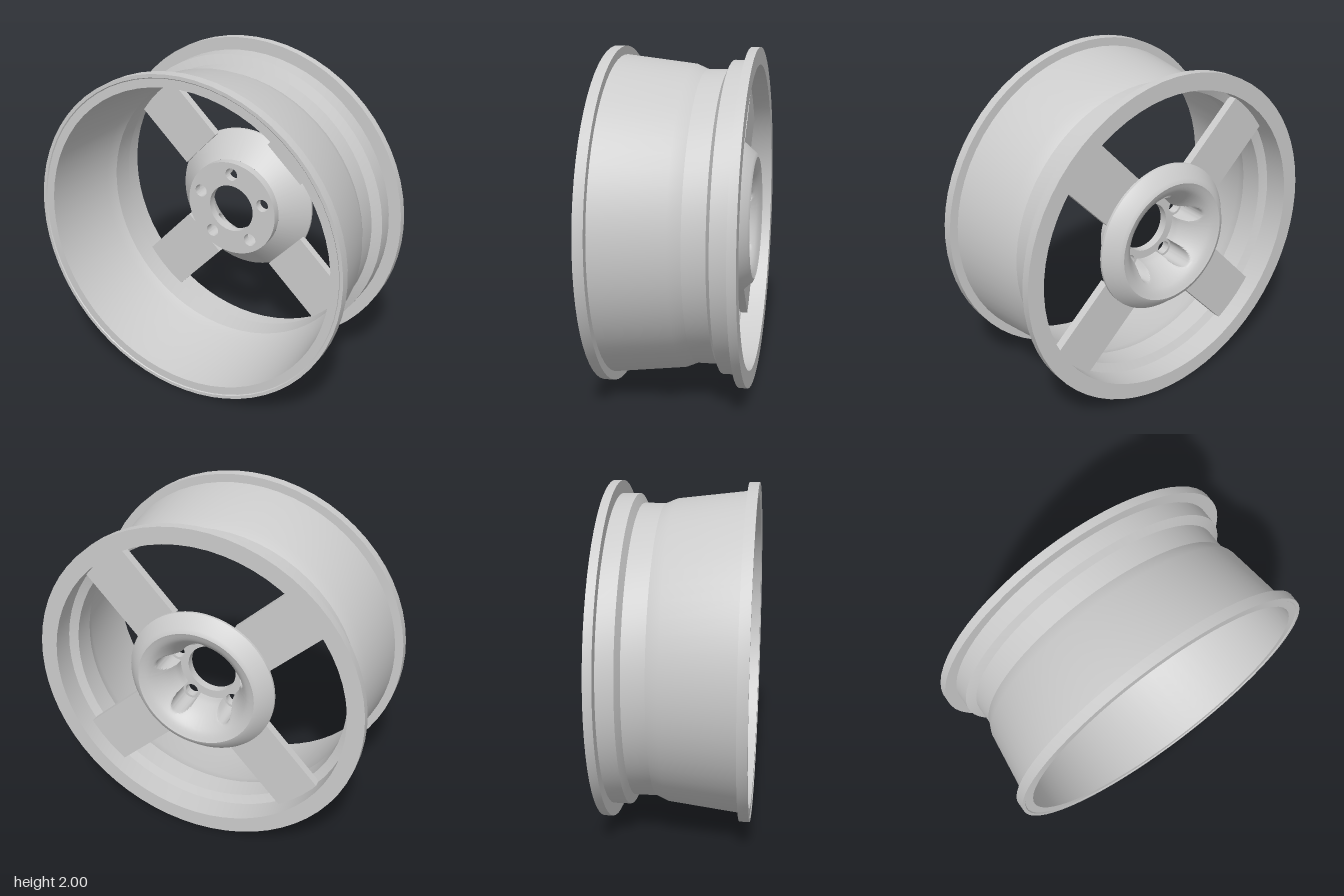
import * as THREE from 'three';
import { toCreasedNormals } from 'three/addons/utils/BufferGeometryUtils.js';

const material = new THREE.MeshStandardMaterial({ color: 0xcccccc });
const BOLTS = 5, BOLT_CIRCLE = 0.225, BOLT_R = 0.04, POCKET_R = 0.055;
const FLOOR_Z = -0.18;

function part(name, geometry, parent) {
  const mesh = new THREE.Mesh(geometry, material);
  mesh.name = name;
  parent.add(mesh);
  return mesh;
}

// Revolve [radius, z] points about the z axis
function revolve(points, segments) {
  return new THREE.LatheGeometry(points.map(([r, z]) => new THREE.Vector2(r, z)), segments).rotateX(Math.PI / 2);
}

// Barrel with two flanges, drop centre and bead seats
function barrelGeometry() {
  const profile = [
    [0.9, -0.425], [1, -0.425], [1, -0.375], [0.925, -0.375], [0.925, -0.275],
    [0.87, -0.25], [0.87, -0.12], [0.9, -0.05], [0.95, 0.365], [1, 0.365],
    [1, 0.425], [0.98, 0.425], [0.975, 0.42], [0.925, 0.42], [0.875, -0.05],
    [0.85, -0.12], [0.85, -0.255], [0.9, -0.28], [0.9, -0.425],
  ];
  return toCreasedNormals(revolve(profile, 64), 0.3);
}

// Hub shell: rear bowl, rounded lip and front cone, with bolt pockets cut into the bowl
function hubGeometry() {
  const bowl = new THREE.SplineCurve(
    [[0.2, FLOOR_Z], [0.205, -0.24], [0.24, -0.32], [0.3, -0.39], [0.36, -0.42]].map(p => new THREE.Vector2(...p))
  ).getPoints(28).map(p => [p.x, p.y]);
  const profile = [...bowl, [0.385, -0.41], [0.45, -0.335], [0.45, -0.32], [0.3, FLOOR_Z]];
  const geometry = revolve(profile, 240);
  const pos = geometry.attributes.position;
  const step = (Math.PI * 2) / BOLTS;
  for (let i = 0; i < pos.count; i++) {
    if (i % profile.length >= bowl.length) continue;
    const x = pos.getX(i), y = pos.getY(i);
    const a = Math.atan2(y, x) - Math.PI / 2;
    const off = a - Math.round(a / step) * step;
    const inside = POCKET_R ** 2 - (BOLT_CIRCLE * Math.sin(off)) ** 2;
    if (inside <= 0) continue;
    // Push the bowl wall out to the far side of the pocket
    const r = Math.hypot(x, y);
    const k = Math.max(r, BOLT_CIRCLE * Math.cos(off) + Math.sqrt(inside)) / r;
    pos.setXY(i, x * k, y * k);
  }
  return toCreasedNormals(geometry, 0.6);
}

// Mounting plate with centre bore and bolt holes
function plateGeometry() {
  const shape = new THREE.Shape().absarc(0, 0, 0.3, 0, Math.PI * 2, false);
  const hole = (x, y, r) => shape.holes.push(new THREE.Path().absarc(x, y, r, 0, Math.PI * 2, true));
  hole(0, 0, 0.15);
  for (let i = 0; i < BOLTS; i++) {
    const a = Math.PI / 2 + (i * Math.PI * 2) / BOLTS;
    hole(BOLT_CIRCLE * Math.cos(a), BOLT_CIRCLE * Math.sin(a), BOLT_R);
  }
  const geometry = new THREE.ExtrudeGeometry(shape, { depth: 0.05, bevelEnabled: false, curveSegments: 40 });
  return toCreasedNormals(geometry.translate(0, 0, FLOOR_Z), 0.5);
}

export function createModel() {
  const model = new THREE.Group();
  model.name = 'wheelRim';
  const wheel = new THREE.Group();
  wheel.name = 'wheel';
  wheel.position.y = 1;
  model.add(wheel);

  part('barrel', barrelGeometry(), wheel);
  part('hub', hubGeometry(), wheel);
  part('mountingPlate', plateGeometry(), wheel);

  // Four flat spokes
  const spoke = new THREE.BoxGeometry(0.49, 0.31, 0.05).translate(0.655, 0, -0.295);
  for (let i = 0; i < 4; i++) {
    part('spoke' + (i + 1), spoke, wheel).rotation.z = THREE.MathUtils.degToRad(47 + 90 * i);
  }
  return model;
}
